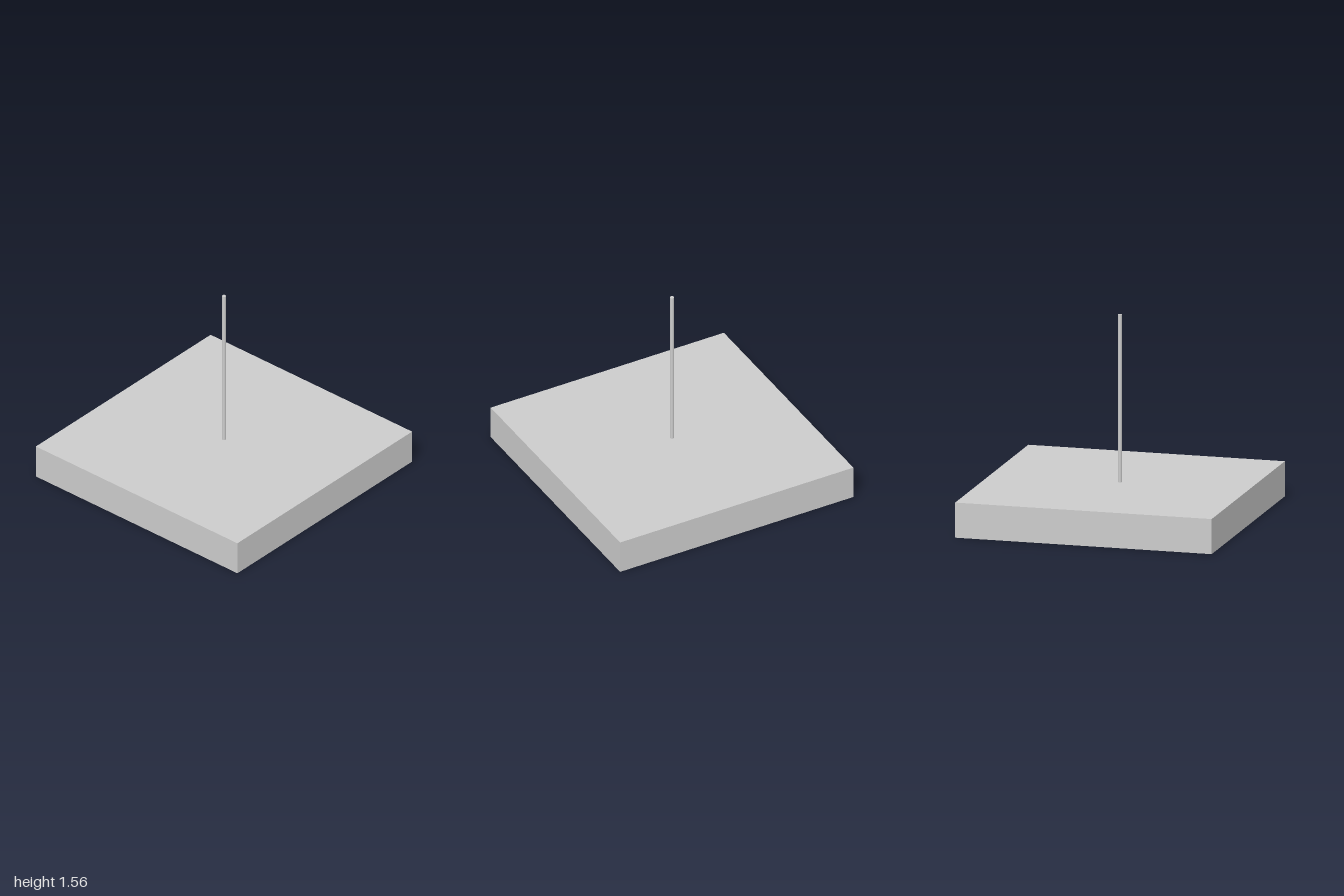
import * as THREE from 'three';

const SLAB_HEIGHT = 0.27;
const TOTAL_HEIGHT = 1.56;
const ROD_RADIUS = 0.015;

export function createModel() {
  const group = new THREE.Group();
  const material = new THREE.MeshStandardMaterial({ color: 0xcccccc });

  // Square base slab
  const base = new THREE.Mesh(new THREE.BoxGeometry(2, SLAB_HEIGHT, 2), material);
  base.name = 'base';
  base.position.y = SLAB_HEIGHT / 2;
  group.add(base);

  // Thin upright rod standing on the middle of the slab
  const rodLength = TOTAL_HEIGHT - SLAB_HEIGHT;
  const rod = new THREE.Mesh(
    new THREE.CylinderGeometry(ROD_RADIUS, ROD_RADIUS, rodLength, 32),
    material
  );
  rod.name = 'rod';
  rod.position.y = SLAB_HEIGHT + rodLength / 2;
  group.add(rod);

  return group;
}
